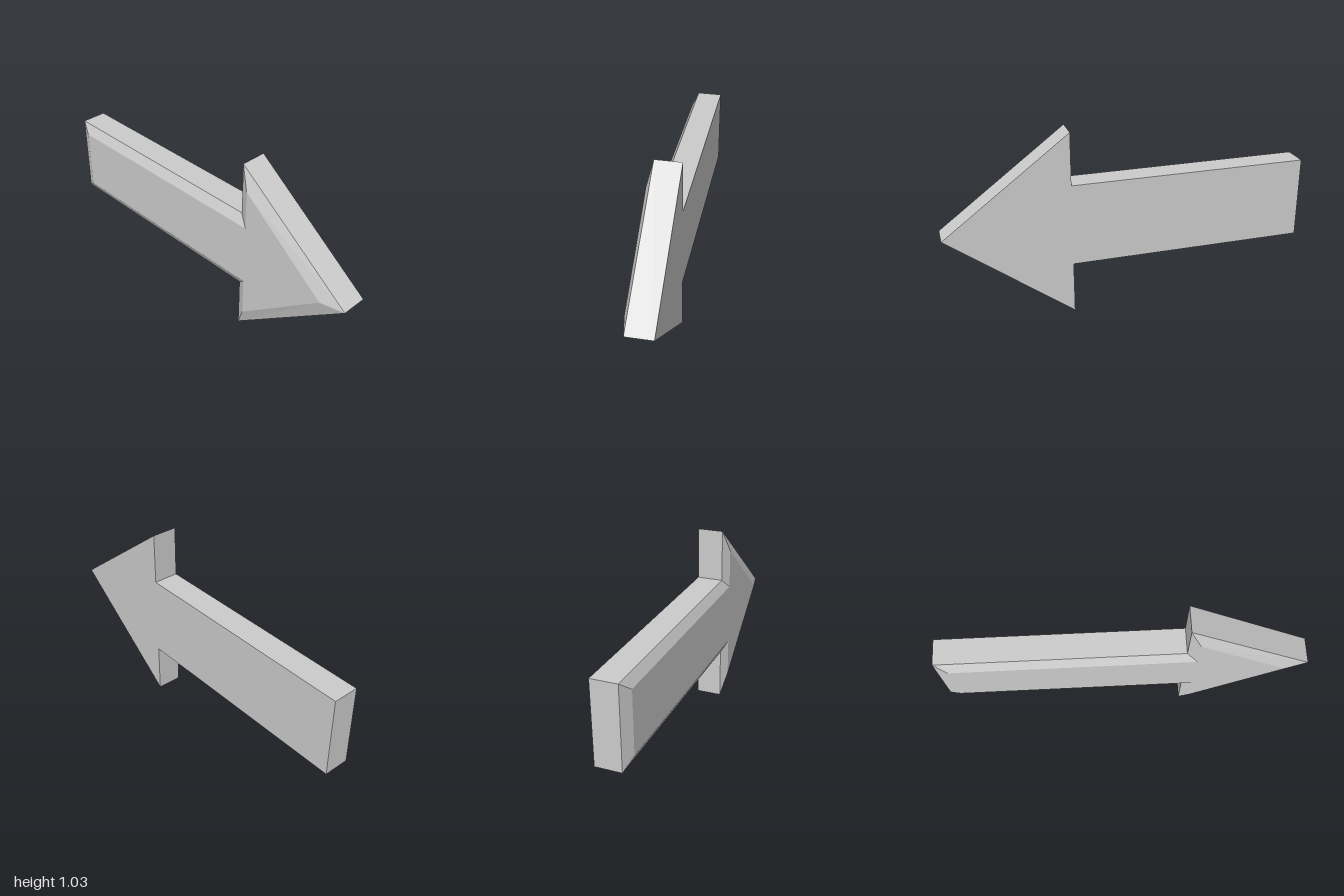
import * as THREE from 'three';

// Lower half of the arrow, tail to tip; the upper half is mirrored about the axis
const AXIS = 0.515;
const mirrored = (half) => [
  ...half,
  ...half.filter(([, y]) => y !== AXIS).reverse().map(([x, y]) => [x, 2 * AXIS - y]),
].map(([x, y]) => new THREE.Vector2(x, y));

const outline = mirrored([[-1, 0.288], [0.32, 0.288], [0.32, 0], [1, AXIS]]);
const inset = mirrored([[-0.93, 0.343], [0.375, 0.343], [0.375, 0.125], [0.87, AXIS]]);

export function createModel() {
  const group = new THREE.Group();
  const material = new THREE.MeshStandardMaterial({ color: 0xcccccc, flatShading: true });

  // Counter-clockwise cross-sections from back to front
  const rings = [[outline, -0.085], [outline, 0.057], [inset, 0.086]];
  const n = outline.length;
  const positions = rings.flatMap(([points, z]) => points.flatMap((p) => [p.x, p.y, z]));
  const index = [];

  // Straight sides, then the front bevel
  for (let r = 0; r < rings.length - 1; r++) {
    for (let i = 0; i < n; i++) {
      const j = (i + 1) % n;
      const a = r * n + i, b = r * n + j;
      index.push(a, b, b + n, a, b + n, a + n);
    }
  }

  // Back and front faces
  for (const [a, b, c] of THREE.ShapeUtils.triangulateShape(outline, [])) index.push(c, b, a);
  const front = 2 * n;
  for (const [a, b, c] of THREE.ShapeUtils.triangulateShape(inset, [])) {
    index.push(front + a, front + b, front + c);
  }

  const indexed = new THREE.BufferGeometry();
  indexed.setAttribute('position', new THREE.Float32BufferAttribute(positions, 3));
  indexed.setIndex(index);
  const geometry = indexed.toNonIndexed();
  geometry.computeVertexNormals();

  const arrow = new THREE.Mesh(geometry, material);
  arrow.name = 'arrow';
  group.add(arrow);
  return group;
}
